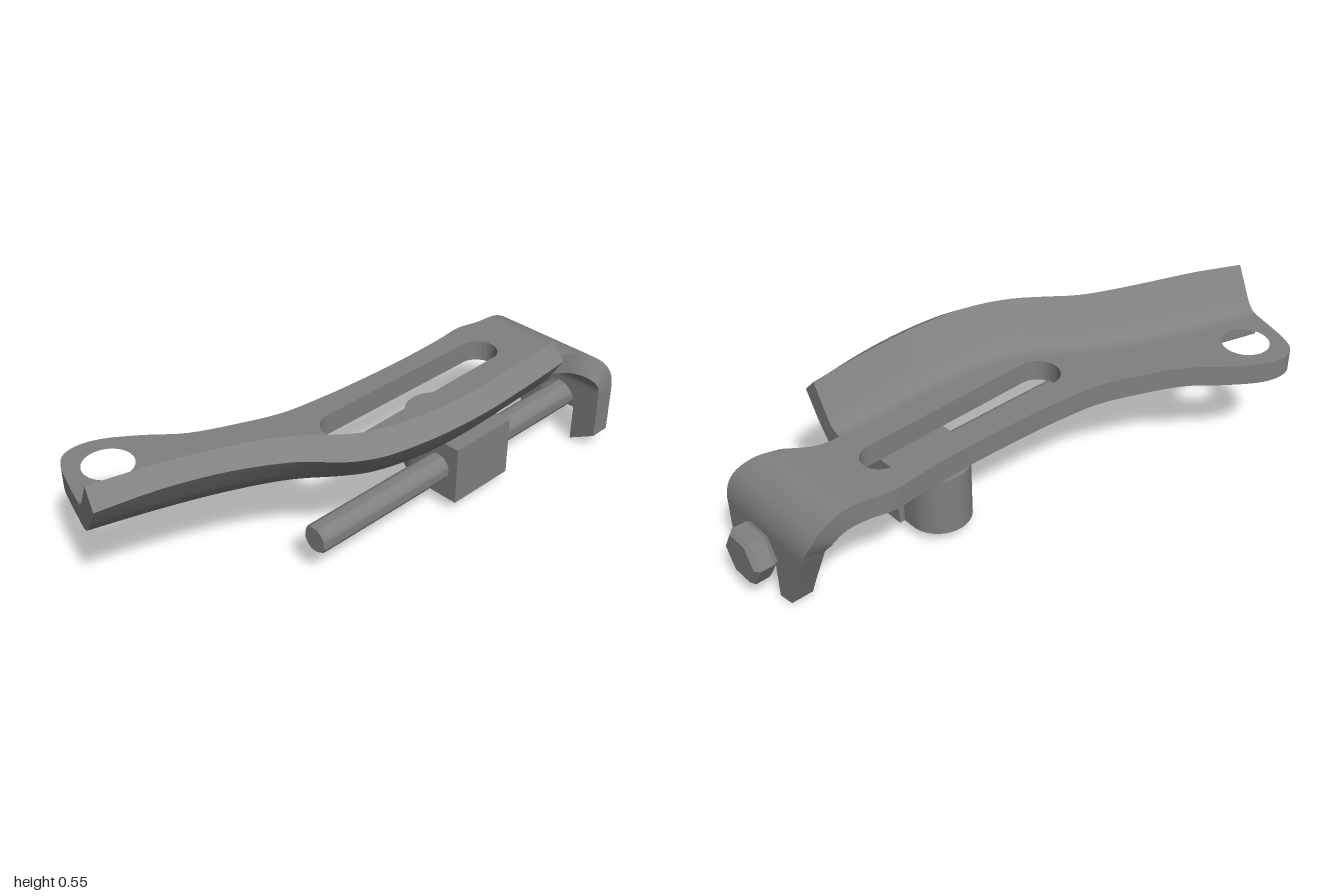
import * as THREE from 'three';
import { toCreasedNormals } from 'three/addons/utils/BufferGeometryUtils.js';

const steel = new THREE.MeshStandardMaterial({ color: 0x808080 });
steel.name = 'steel grey';

const V2 = (x, y) => new THREE.Vector2(x, y);
const spline = (pts, n) => new THREE.SplineCurve(pts.map(p => V2(...p))).getPoints(n);

function part(name, geometry, crease = 0.6) {
  const mesh = new THREE.Mesh(toCreasedNormals(geometry, crease), steel);
  mesh.name = name;
  return mesh;
}

// Solid skinned over closed cross-sections; contour is the section in 2D, used for the caps
function loft(rows, contour) {
  const n = contour.length, pos = [], idx = [];
  rows.forEach(r => r.forEach(p => pos.push(...p)));
  for (let i = 0; i < rows.length - 1; i++) {
    for (let j = 0; j < n; j++) {
      const a = i * n + j, b = i * n + (j + 1) % n;
      idx.push(a, a + n, b, b, a + n, b + n);
    }
  }
  const last = (rows.length - 1) * n;
  for (const [a, b, c] of THREE.ShapeUtils.triangulateShape(contour, [])) {
    idx.push(a, b, c, last + a, last + c, last + b);
  }
  const g = new THREE.BufferGeometry();
  g.setAttribute('position', new THREE.Float32BufferAttribute(pos, 3));
  g.setIndex(idx);
  return g;
}

// Plan shape (x, z) extruded from yBottom to yTop
function slab(shape, yBottom, yTop) {
  return new THREE.ExtrudeGeometry(shape, { depth: yTop - yBottom, bevelEnabled: false, curveSegments: 20 })
    .rotateX(Math.PI / 2).translate(0, yTop, 0);
}

function circleHole(x, y, r) {
  return new THREE.Path().absarc(x, y, r, 0, Math.PI * 2, true);
}

export function createModel() {
  const model = new THREE.Group();
  model.name = 'slottedBracket';

  // Plan lines of the flange: outer lip, fold where it leaves the plate, and lip height change
  const STEPS = 48;
  const lip = spline([[-0.015, 0.995], [0.05, 0.82], [0.11, 0.65], [0.17, 0.51], [0.22, 0.42], [0.30, 0.33],
    [0.36, 0.24], [0.40, 0.13], [0.425, 0], [0.432, -0.15], [0.425, -0.3], [0.41, -0.45], [0.39, -0.585]], STEPS);
  const fold = spline([[-0.20, 0.94], [-0.145, 0.75], [-0.085, 0.575], [-0.02, 0.42], [0.04, 0.31], [0.11, 0.21],
    [0.155, 0.14], [0.185, 0.06], [0.205, -0.04], [0.215, -0.16], [0.215, -0.3], [0.213, -0.44], [0.215, -0.59]], STEPS);
  const rise = spline([[0, -0.022], [1, 0.002], [2, 0.004], [3, -0.004], [4, -0.012], [5, -0.018],
    [6, -0.014], [7, -0.004], [8, 0.003], [9, 0.004], [10, 0.002], [11, -0.005], [12, -0.016]], STEPS);

  // Flange section: t runs from fold (0) to lip (1), y is height
  const section = [
    ...spline([[0, 0.325], [0.2, 0.327], [0.38, 0.340], [0.55, 0.375], [0.7, 0.413]], 10), V2(1, 0.505),
    V2(0.70, 0.55), ...spline([[0.46, 0.475], [0.30, 0.428], [0.15, 0.405], [0, 0.40]], 8)
  ];
  const flangeRows = lip.map((o, i) => section.map(s => [
    THREE.MathUtils.lerp(fold[i].x, o.x, s.x),
    s.y + rise[i].y * s.x * s.x,
    THREE.MathUtils.lerp(fold[i].y, o.y, s.x)
  ]));
  model.add(part('sideFlange', loft(flangeRows, section.map(s => V2(s.x * 0.21, s.y)))));

  // Flat plate with long slot and round mounting hole
  const leftEdge = spline([[-0.085, -0.76], [-0.092, -0.7], [-0.11, -0.62], [-0.10, -0.5], [-0.095, -0.3],
    [-0.10, -0.1], [-0.11, 0.05], [-0.13, 0.2], [-0.18, 0.34], [-0.25, 0.49], [-0.34, 0.60], [-0.41, 0.70],
    [-0.435, 0.78], [-0.42, 0.845], [-0.365, 0.885], [-0.28, 0.915]], 70);
  const notch = spline([[0.215, -0.59], [0.218, -0.64], [0.235, -0.69], [0.285, -0.76]], 10).slice(1);
  const plate = new THREE.Shape([...fold, ...notch, ...leftEdge]);
  const slot = new THREE.Path();
  slot.absarc(0.05, -0.555, 0.066, Math.PI, Math.PI * 2, false);
  slot.absarc(0.057, 0.105, 0.076, 0, Math.PI, false);
  plate.holes.push(slot, circleHole(-0.285, 0.77, 0.083));
  model.add(part('plate', slab(plate, 0.325, 0.40)));

  // Rounded bend turning the plate downwards
  const leftX = spline([[0, -0.085], [1, -0.08], [2, -0.068], [3, -0.04]], 16);
  const rightX = spline([[0, 0.285], [1, 0.33], [2, 0.366], [3, 0.375]], 16);
  const bendRows = leftX.map((l, i) => {
    const a = i / 16 * Math.PI / 2, s = Math.sin(a), c = Math.cos(a), r = rightX[i].y;
    const at = (x, rad) => [x, 0.24 + rad * c, -0.76 - rad * s];
    return [at(l.y, 0.083), at(r, 0.083), at(r, 0.16), at(l.y, 0.16)];
  });
  model.add(part('bend', loft(bendRows, [V2(0, 0), V2(1, 0), V2(1, 1), V2(0, 1)])));

  // Forked tab straddling the bolt
  const tab = new THREE.Shape();
  tab.moveTo(-0.04, 0.24);
  tab.bezierCurveTo(-0.01, 0.17, 0.02, 0.11, 0.06, 0.013);
  tab.lineTo(0.125, 0);
  tab.lineTo(0.125, 0.15);
  tab.absarc(0.2, 0.15, 0.075, Math.PI, 0, true);
  tab.lineTo(0.275, 0.005);
  tab.lineTo(0.375, 0.06);
  tab.lineTo(0.375, 0.24);
  const tabGeo = new THREE.ExtrudeGeometry(tab, { depth: 0.077, bevelEnabled: false, curveSegments: 16 });
  model.add(part('forkedTab', tabGeo.translate(0, 0, -0.92)));

  // Bolt shaft and chamfered hexagonal head, turned about z
  const bolt = new THREE.Group();
  bolt.name = 'bolt';
  const turned = (pts, sides) => new THREE.LatheGeometry(pts.map(p => V2(...p)), sides).rotateX(Math.PI / 2);
  bolt.add(part('boltShaft', turned([[0, -0.93], [0.05, -0.93], [0.05, 0.355], [0.043, 0.365], [0, 0.365]], 32)));
  const head = turned([[0, -1], [0.08, -1], [0.095, -0.985], [0.095, -0.935], [0.085, -0.92], [0, -0.92]], 6);
  bolt.add(part('boltHead', head.rotateZ(Math.PI / 2), 0.2));
  bolt.position.set(0.195, 0.155, 0);
  model.add(bolt);

  // Clamp block with rounded lobe and vertical hole
  const block = new THREE.Shape();
  block.moveTo(0.105, -0.465);
  block.lineTo(0.28, -0.465);
  block.lineTo(0.28, -0.2);
  block.lineTo(0.105, -0.2);
  block.lineTo(0.105, -0.225);
  block.absarc(0.06, -0.335, 0.11, Math.PI / 2, Math.PI * 1.5, false);
  block.lineTo(0.105, -0.445);
  block.holes.push(circleHole(0.06, -0.335, 0.052));
  model.add(part('clampBlock', slab(block, 0.045, 0.26)));

  return model;
}
